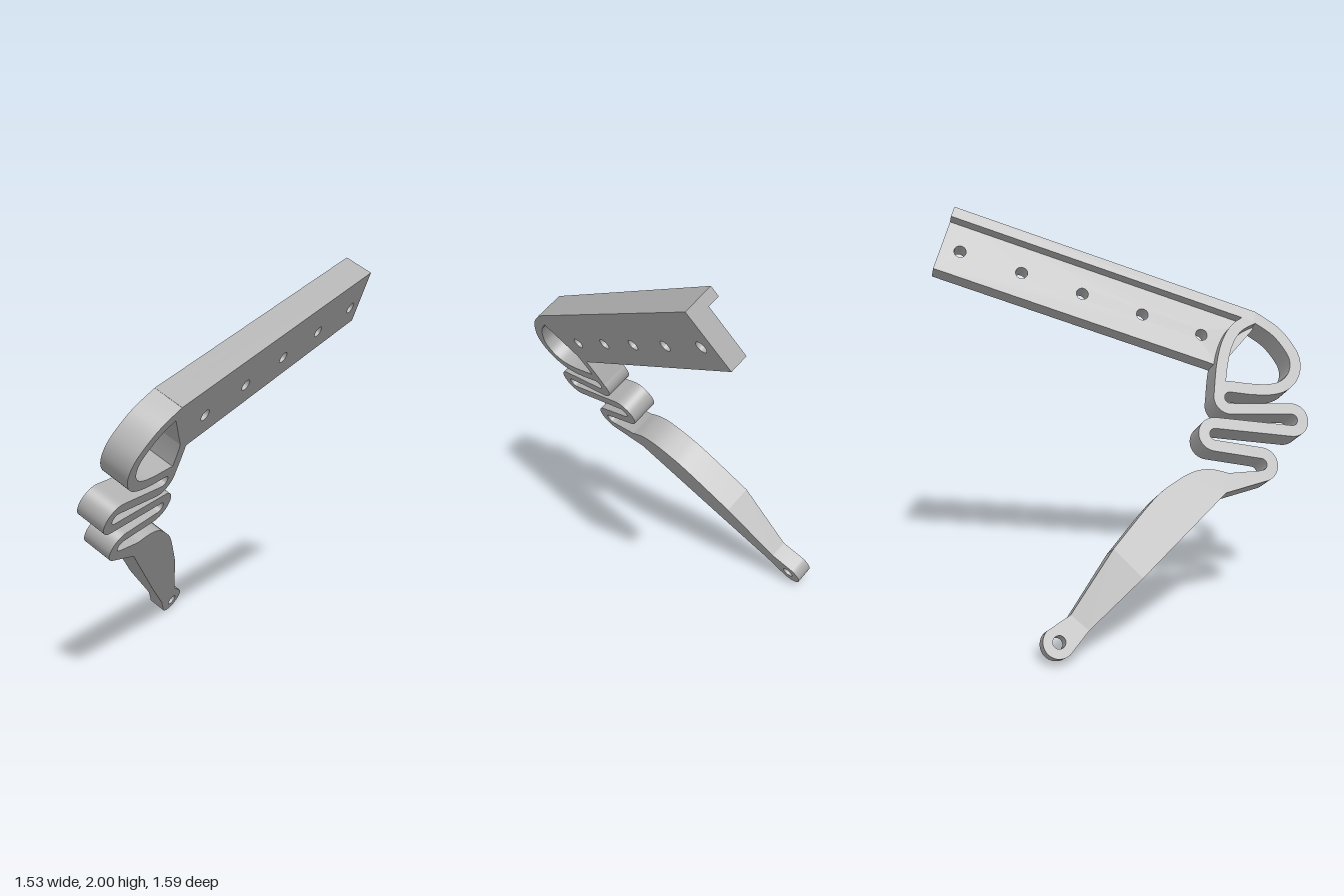
import * as THREE from 'three';
import { toCreasedNormals } from 'three/addons/utils/BufferGeometryUtils.js';

const FULL = 0.156;   // depth of the whole profile
const THIN = 0.095;   // depth of the drilled plate and the arm tip
const HOLE = 0.03;

const V = (x, y) => new THREE.Vector2(x, y);
const points = list => list.map(([x, y]) => V(x, y));

// points of an arc, angles in degrees
function arc(cx, cy, r, from, to, steps = 20) {
  return Array.from({ length: steps + 1 }, (_, i) => {
    const a = THREE.MathUtils.degToRad(from + (to - from) * i / steps);
    return V(cx + r * Math.cos(a), cy + r * Math.sin(a));
  });
}

// closed outline of a strip that follows a centreline
function ribbon(line, width) {
  const left = [], right = [];
  line.forEach((p, i) => {
    const a = line[Math.max(i - 1, 0)], b = line[Math.min(i + 1, line.length - 1)];
    const d = b.clone().sub(a).normalize().multiplyScalar(width / 2);
    left.push(V(p.x - d.y, p.y + d.x));
    right.push(V(p.x + d.y, p.y - d.x));
  });
  return new THREE.Shape([...left, ...right.reverse()]);
}

function drill(shape, x, y) {
  shape.holes.push(new THREE.Path().absarc(x, y, HOLE, 0, Math.PI * 2, true));
}

export function createModel() {
  const grey = new THREE.MeshStandardMaterial({ color: 0xb0b0b0 });
  grey.name = 'plain grey';
  const bracket = new THREE.Group();
  bracket.name = 'flexibleBracket';

  // extrude a profile backwards from the common front face at z = 0
  function add(name, shape, depth, rule) {
    const geo = new THREE.ExtrudeGeometry(shape, { depth, bevelEnabled: false, curveSegments: 16 });
    geo.translate(0, 0, -depth);
    if (rule) {
      const p = geo.attributes.position;
      for (let i = 0; i < p.count; i++) {
        if (p.getZ(i) < -0.01) p.setZ(i, rule(p.getX(i), p.getY(i)));
      }
    }
    const mesh = new THREE.Mesh(toCreasedNormals(geo, 0.5), grey);
    mesh.name = name;
    bracket.add(mesh);
  }

  // straight bar: drilled plate with a deeper lip along its top
  const plate = new THREE.Shape(points([
    [-0.24, 1.43], [-0.115, 1.158], [1.38, 1.158], [1.38, 1.48], [-0.21, 1.48],
  ]));
  for (let i = 0; i < 5; i++) drill(plate, 0.0185 + i * 0.3167, 1.29);
  add('barPlate', plate, THIN);
  add('barLip', new THREE.Shape(points([
    [-0.21, 1.425], [1.38, 1.425], [1.38, 1.48], [-0.21, 1.48],
  ])), FULL);

  // large loop running on into the serpentine spring
  const loop = new THREE.SplineCurve(points([
    [-0.2, 1.453], [-0.335, 1.412], [-0.435, 1.338], [-0.472, 1.275],
    [-0.472, 1.205], [-0.435, 1.14], [-0.365, 1.096], [-0.27, 1.066],
  ])).getPoints(40);
  const R = 0.0575;
  add('serpentineSpring', ribbon([
    ...loop,
    ...arc(-0.189, 0.99, R, 78, -110),
    ...arc(-0.517, 0.983, R, 70, 257),
    ...arc(-0.161, 0.783, R, 77, -100),
    ...arc(-0.416, 0.71, R, 80, 240),
    V(-0.36, 0.612),
  ], 0.056), FULL);

  // curved wall closing the loop behind the plate
  const wall = new THREE.SplineCurve(points([
    [-0.215, 1.45], [-0.14, 1.37], [-0.108, 1.27], [-0.109, 1.14], [-0.132, 0.99],
  ])).getPoints(24);
  add('loopWall', ribbon(wall, 0.056), FULL);

  // arm: full-depth upper part, tapering middle, thin drilled tip
  const back = new THREE.SplineCurve(points([
    [-0.27, 0.615], [-0.18, 0.605], [-0.099, 0.565], [-0.015, 0.475], [0.056, 0.365], [0.175, 0.09],
  ])).getPoints(24);
  add('upperArm', new THREE.Shape([
    V(-0.435, 0.684), ...back, V(0.006, 0.0), V(-0.279, 0.515), V(-0.459, 0.636),
  ]), FULL);

  add('taperedArm', new THREE.Shape(points([
    [0.006, 0.0], [0.175, 0.09], [0.275, -0.246], [0.174, -0.29],
  ])), FULL, (x, y) => (y > -0.1 ? -FULL : -THIN));

  const tip = new THREE.Shape([
    V(0.174, -0.29), ...arc(0.291, -0.378, 0.075, 195, 385), V(0.275, -0.246),
  ]);
  drill(tip, 0.291, -0.378);
  add('armTip', tip, THIN);

  // tilt the profile plane into its standing pose
  const along = new THREE.Vector3(0.672, 0.331, -0.661).normalize();
  const facing = new THREE.Vector3(0.722, -0.492, 0.488);
  const up = facing.clone().cross(along).normalize();
  facing.crossVectors(along, up);
  bracket.quaternion.setFromRotationMatrix(new THREE.Matrix4().makeBasis(along, up, facing));
  bracket.position.copy(facing).multiplyScalar(-0.568);

  const model = new THREE.Group();
  model.name = 'model';
  model.add(bracket);
  return model;
}
